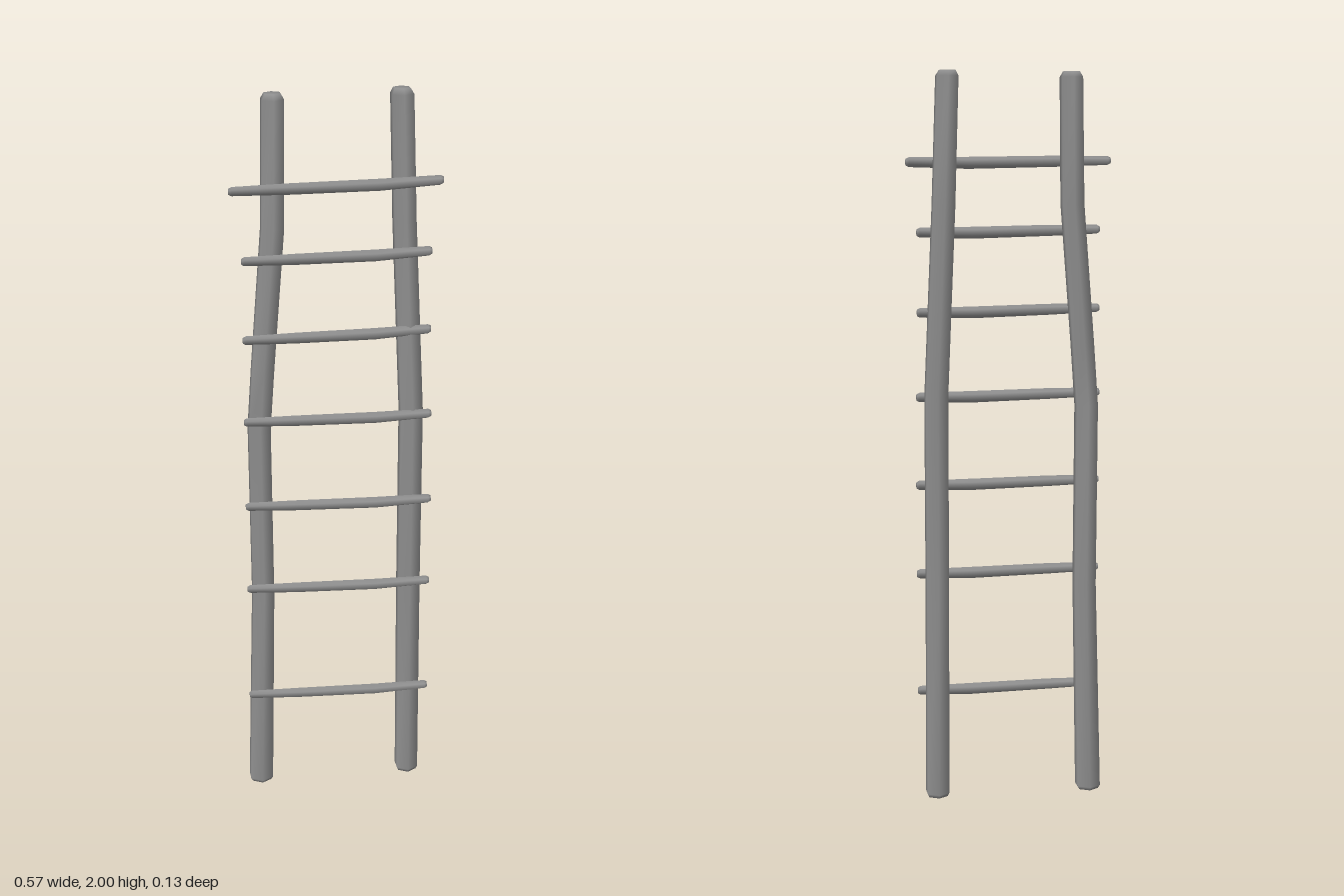
import * as THREE from 'three';

const SIDES = 6;

// Closed, smooth-shaded hexagonal limb. stations: [x, y, z, radius]; u and v span each section.
function limb(name, stations, u, v, material) {
  const pos = [], index = [];
  for (const [x, y, z, r] of stations) {
    for (let i = 0; i < SIDES; i++) {
      const a = (i / SIDES) * Math.PI * 2;
      const p = new THREE.Vector3(x, y, z)
        .addScaledVector(u, Math.cos(a) * r)
        .addScaledVector(v, Math.sin(a) * r);
      pos.push(p.x, p.y, p.z);
    }
  }
  const n = stations.length;
  for (let s = 0; s < n - 1; s++) {
    for (let i = 0; i < SIDES; i++) {
      const j = (i + 1) % SIDES;
      const a = s * SIDES + i, b = s * SIDES + j;
      index.push(a, b, b + SIDES, a, b + SIDES, a + SIDES);
    }
  }
  // End caps share the rim vertices, so the ends shade softly
  const last = (n - 1) * SIDES;
  for (let i = 1; i < SIDES - 1; i++) {
    index.push(0, i + 1, i);
    index.push(last, last + i, last + i + 1);
  }
  const geometry = new THREE.BufferGeometry();
  geometry.setAttribute('position', new THREE.Float32BufferAttribute(pos, 3));
  geometry.setIndex(index);
  geometry.computeVertexNormals();
  const mesh = new THREE.Mesh(geometry, material);
  mesh.name = name;
  return mesh;
}

export function createModel() {
  const ladder = new THREE.Group();
  ladder.name = 'ladder';
  const wood = new THREE.MeshStandardMaterial({ color: 0x909090 });
  const X = new THREE.Vector3(1, 0, 0);
  const Y = new THREE.Vector3(0, 1, 0);
  const Z = new THREE.Vector3(0, 0, 1);

  // Crooked upright poles with worn ends, section corners pointing to front and back
  ladder.add(limb('leftPole', [
    [0.207, 0, 0.015, 0.03],
    [0.207, 0.01, 0.015, 0.035],
    [0.206, 0.6, 0.004, 0.035],
    [0.205, 1.13, 0.008, 0.035],
    [0.188, 1.65, -0.031, 0.034],
    [0.177, 1.985, -0.03, 0.033],
    [0.176, 2, -0.03, 0.024],
  ], Z, X, wood));
  ladder.add(limb('rightPole', [
    [-0.222, 0, 0.002, 0.031],
    [-0.222, 0.01, 0.002, 0.037],
    [-0.207, 0.6, -0.004, 0.034],
    [-0.211, 1.1, 0.002, 0.034],
    [-0.199, 1.27, 0.002, 0.034],
    [-0.167, 1.65, -0.008, 0.034],
    [-0.162, 1.985, -0.01, 0.033],
    [-0.162, 2, -0.01, 0.024],
  ], Z, X, wood));

  // Rungs across the front: [y, half length, z at right end, z at left end]
  const rungs = [
    [0.297, 0.255, 0.038, 0.053],
    [0.632, 0.255, 0.038, 0.053],
    [0.882, 0.255, 0.038, 0.052],
    [1.128, 0.255, 0.036, 0.037],
    [1.361, 0.255, 0.043, 0.012],
    [1.576, 0.255, 0.045, 0.008],
    [1.762, 0.285, 0.048, -0.005],
  ];
  const rungGroup = new THREE.Group();
  rungGroup.name = 'rungs';
  rungs.forEach(([y, half, z0, z1], i) => {
    // [position along half length, y offset, z offset, radius]: rounded ends, thicker middle
    const stations = [
      [-1, 0.003, 0, 0.008], [-0.97, 0.003, 0, 0.012], [-0.45, 0.001, 0.003, 0.015],
      [0.4, -0.003, 0.003, 0.016], [0.97, -0.001, 0, 0.013], [1, -0.001, 0, 0.009],
    ].map(([t, dy, dz, r]) => [
      t * half, y + dy, THREE.MathUtils.lerp(z0, z1, (t + 1) / 2) + dz, r,
    ]);
    rungGroup.add(limb('rung' + (i + 1), stations, Y, Z, wood));
  });
  ladder.add(rungGroup);
  return ladder;
}
